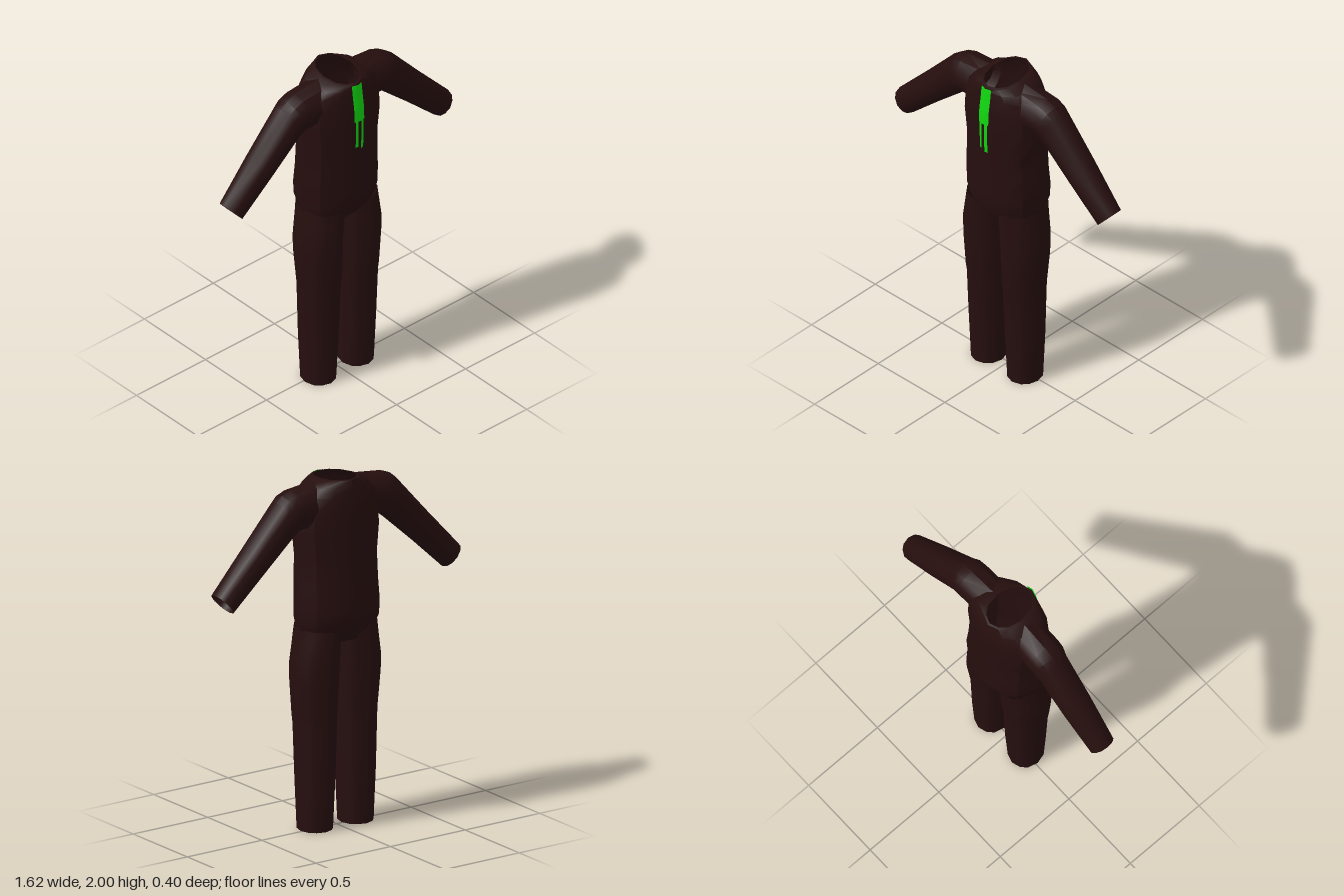
import * as THREE from 'three';
import { toCreasedNormals } from 'three/addons/utils/BufferGeometryUtils.js';

const cloth = new THREE.MeshStandardMaterial({ color: 0x260e0e, side: THREE.DoubleSide });
cloth.name = 'dark cloth';
const green = new THREE.MeshStandardMaterial({ color: 0x10d610, side: THREE.DoubleSide });
green.name = 'bright green';

// Soft twelve-sided outline, starting at the front and running towards +x
const QUARTER = [[0, 1], [0.52, 0.85], [0.84, 0.56]];
const OUTLINE = [];
for (let q = 0; q < 4; q++) {
  for (const [a, b] of q % 2 ? [[1, 0], [0.84, 0.56], [0.52, 0.85]] : QUARTER) {
    OUTLINE.push([q < 2 ? a : -a, q === 0 || q === 3 ? b : -b]);
  }
}

// Open skin through rows of points; closed rows wrap around
function loft(name, rows, material, closed = true, flip = false) {
  const n = rows[0].length;
  const index = [];
  for (let r = 0; r < rows.length - 1; r++) {
    for (let i = 0; i < (closed ? n : n - 1); i++) {
      const a = r * n + i, b = r * n + (i + 1) % n, c = a + n, d = b + n;
      if (flip) index.push(a, d, b, a, c, d);
      else index.push(a, b, d, a, d, c);
    }
  }
  const g = new THREE.BufferGeometry();
  g.setAttribute('position', new THREE.Float32BufferAttribute(rows.flat(2), 3));
  g.setIndex(index);
  const mesh = new THREE.Mesh(toCreasedNormals(g, 0.6), material);
  mesh.name = name;
  return mesh;
}

// Shirt body rings: height, half width, front z, back z, forward tilt
const BODY = [
  [1.13, 0.236, 0.172, -0.155, 0],
  [1.19, 0.247, 0.193, -0.192, 0],
  [1.27, 0.25, 0.195, -0.197, 0],
  [1.4, 0.246, 0.195, -0.182, 0],
  [1.55, 0.241, 0.196, -0.177, 0],
  [1.7, 0.258, 0.2, -0.177, 0],
  [1.82, 0.252, 0.196, -0.174, 0],
  [1.91, 0.23, 0.183, -0.163, 0],
  [1.955, 0.185, 0.18, -0.153, 0.03],
  [1.985, 0.115, 0.176, -0.142, 0.08],
  [1.988, 0.1, 0.16, -0.13, 0.08],
];

// Leg rings: height, inner x, outer x, front z, back z
const LEG = [
  [0, 0.04, 0.232, 0.115, -0.09],
  [0.3, 0.028, 0.243, 0.13, -0.105],
  [0.6, 0.018, 0.251, 0.142, -0.112],
  [0.65, 0.016, 0.254, 0.15, -0.114],
  [0.85, 0.01, 0.268, 0.16, -0.132],
  [0.94, 0.008, 0.269, 0.163, -0.138],
  [1.07, 0.004, 0.248, 0.164, -0.142],
  [1.15, 0.002, 0.236, 0.164, -0.146],
];

// Sleeve rings: top x, top y, bottom x, bottom y, front z, back z
const SLEEVE = [
  [0.13, 1.978, 0.17, 1.72, 0.12, -0.1],
  [0.3, 1.958, 0.255, 1.725, 0.12, -0.105],
  [0.36, 1.935, 0.278, 1.722, 0.118, -0.102],
  [0.4, 1.902, 0.31, 1.697, 0.106, -0.095],
  [0.6, 1.68, 0.51, 1.52, 0.096, -0.087],
  [0.812, 1.452, 0.71, 1.335, 0.078, -0.07],
];

function bodyRows() {
  return BODY.map(([y, w, f, b, tilt]) => OUTLINE.map(([u, v]) => {
    const z = (f + b) / 2 + v * (f - b) / 2;
    return [u * w, y - tilt * z, z];
  }));
}

function legRows(side) {
  return LEG.map(([y, x0, x1, f, b]) => OUTLINE.map(([u, v]) =>
    [side * ((x0 + x1) / 2 + u * (x1 - x0) / 2), y, (f + b) / 2 + v * (f - b) / 2]));
}

function sleeveRows(side) {
  return SLEEVE.map(([tx, ty, bx, by, f, b]) => OUTLINE.map(([u, v]) => {
    const t = (u + 1) / 2;
    return [side * (bx + (tx - bx) * t), by + (ty - by) * t, (f + b) / 2 + v * (f - b) / 2];
  }));
}

// Depth of the shirt front near its centre line
function frontZ(x, y) {
  let i = 0;
  while (i < BODY.length - 3 && BODY[i + 1][0] < y) i++;
  const t = Math.min(1, (y - BODY[i][0]) / (BODY[i + 1][0] - BODY[i][0]));
  const [, w, f, b] = BODY[i].map((v, k) => v + (BODY[i + 1][k] - v) * t);
  return f - Math.abs(x) / (0.52 * w) * 0.15 * (f - b) / 2;
}

// Thin strip lying on the shirt front
function strip(name, xs, bottom, top) {
  const rows = [];
  for (let r = 0; r <= 10; r++) {
    const y = bottom + (top - bottom) * r / 10;
    rows.push(xs.map((x) => [x, y, frontZ(x, y) + 0.005]));
  }
  return loft(name, rows, green, false);
}

export function createModel() {
  const model = new THREE.Group();
  model.name = 'outfit';
  model.add(loft('shirtBody', bodyRows(), cloth));

  for (const side of [1, -1]) {
    const label = side > 0 ? 'left' : 'right';
    model.add(loft(label + 'Sleeve', sleeveRows(side), cloth, true, side > 0));
    model.add(loft(label + 'TrouserLeg', legRows(side), cloth, true, side < 0));
  }

  // Saddle joining the legs: y, z, half width
  const saddle = [[1.15, 0.162, 0.09], [1.075, 0.125, 0.06], [1.065, 0, 0.015], [1.075, -0.11, 0.06], [1.15, -0.145, 0.09]];
  model.add(loft('crotch', saddle.map(([y, z, w]) => [[-w, y, z], [w, y, z]]), cloth, false, true));

  // Neck trim and its two hanging ends
  model.add(strip('neckTrim', [-0.035, 0, 0.035], 1.74, 1.97));
  model.add(strip('rightTrimEnd', [-0.027, -0.011], 1.57, 1.74));
  model.add(strip('leftTrimEnd', [0.009, 0.028], 1.553, 1.74));
  return model;
}
